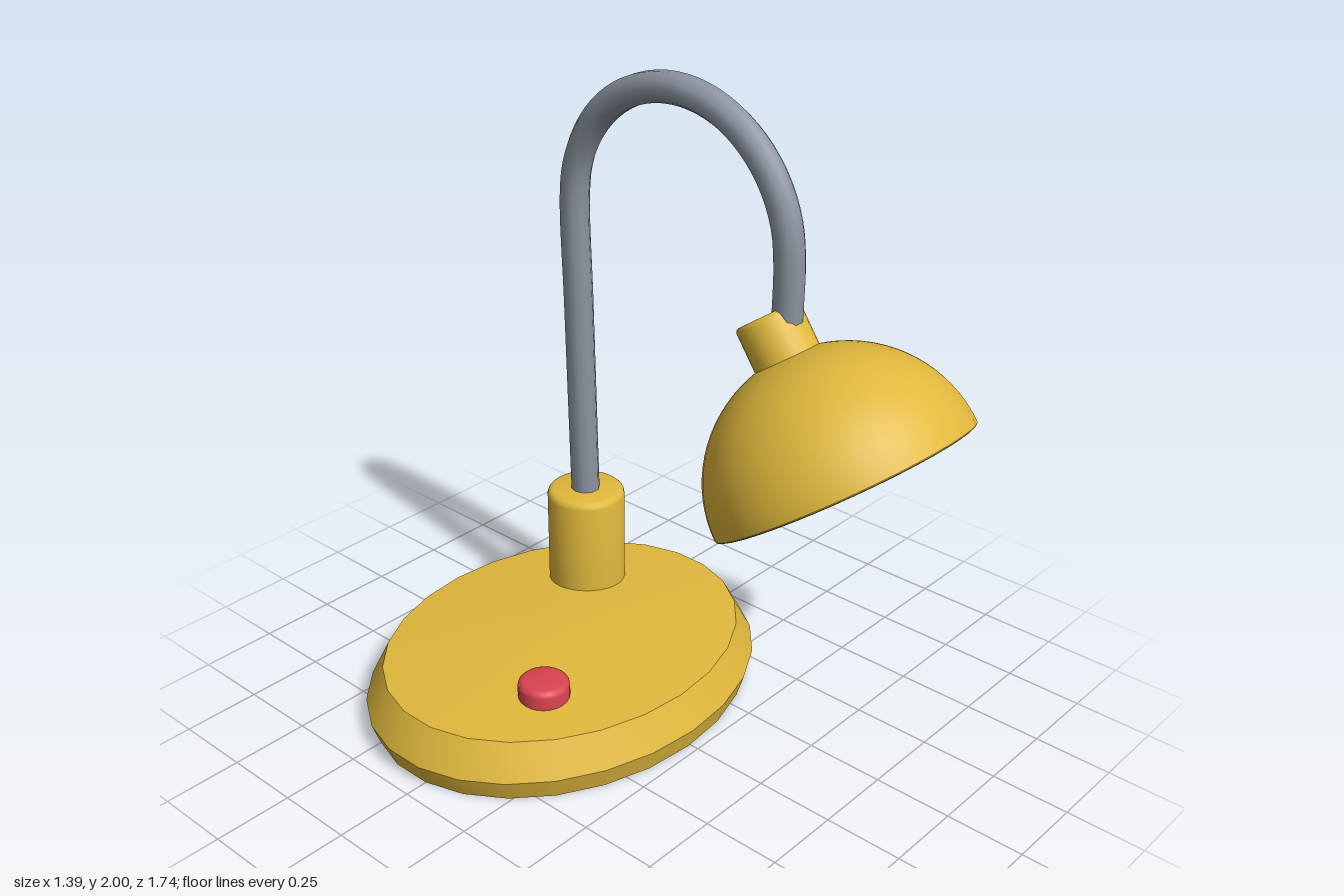
import * as THREE from 'three';
import { toCreasedNormals } from 'three/addons/utils/BufferGeometryUtils.js';

const paint = (name, color) => new THREE.MeshStandardMaterial({ name, color });

// Lathe from [radius, height] pairs, bottom to top for an outward surface
function turned(points, segments) {
  const profile = points.map(([r, y]) => new THREE.Vector2(r, y));
  return toCreasedNormals(new THREE.LatheGeometry(profile, segments), 0.6);
}

// Closed cylinder with a softened top edge
function softCylinder(r, y0, y1, bevel, segments) {
  const points = [[0, y0], [r, y0]];
  for (let i = 0; i <= 3; i++) {
    const a = (i / 3) * Math.PI / 2;
    points.push([r - bevel + bevel * Math.cos(a), y1 - bevel + bevel * Math.sin(a)]);
  }
  points.push([0, y1]);
  return turned(points, segments);
}

// Quarter-ellipse profile from rim (y = 0) to crown
function domeProfile(r, h, steps) {
  return Array.from({ length: steps + 1 }, (_, i) => {
    const a = (i / steps) * Math.PI / 2;
    return [i === steps ? 0 : r * Math.cos(a), h * Math.sin(a)];
  });
}

export function createModel() {
  const yellow = paint('yellow enamel', 0xe0b83c);
  const steel = paint('grey steel', 0x8c94a0);
  const red = paint('red button', 0xd9434f);
  const cream = paint('cream lining', 0xeadfc2);
  const glass = paint('warm bulb', 0xe6dab8);

  const lamp = new THREE.Group();
  lamp.name = 'deskLamp';
  const add = (parent, name, geometry, material, x = 0, y = 0, z = 0) => {
    const mesh = new THREE.Mesh(geometry, material);
    mesh.name = name;
    mesh.position.set(x, y, z);
    parent.add(mesh);
    return mesh;
  };

  // Oval base with a bevelled edge and slightly domed top
  const base = turned([[0, 0], [0.67, 0], [0.695, 0.07], [0.632, 0.18], [0.16, 0.213], [0, 0.215]], 26);
  base.scale(1, 1, 0.555 / 0.695);
  add(lamp, 'base', base, yellow, -0.01, 0, -0.316);

  // Post and switch
  const armX = 0.285;
  add(lamp, 'post', softCylinder(0.128, 0.17, 0.535, 0.022, 28), yellow, armX, 0, -0.492);
  add(lamp, 'switchButton', softCylinder(0.08, 0.18, 0.25, 0.018, 24), red, -0.305, 0, -0.11);

  // Gooseneck: leaning stem, half-circle arch, short drop
  const path = [[-0.493, 0.5], [-0.502, 0.85], [-0.511, 1.2]];
  for (let i = 0; i <= 12; i++) {
    const a = (i / 12) * Math.PI;
    path.push([-0.105 - 0.415 * Math.cos(a), 1.54 + 0.415 * Math.sin(a)]);
  }
  path.push([0.31, 1.37]);
  const curve = new THREE.CatmullRomCurve3(path.map(([z, y]) => new THREE.Vector3(armX, y, z)));
  add(lamp, 'gooseneck', new THREE.TubeGeometry(curve, 72, 0.047, 10), steel);
  const cap = new THREE.CircleGeometry(0.047, 10);
  cap.rotateX(Math.PI / 2);
  add(lamp, 'gooseneckEnd', cap, steel, armX, 1.37, 0.31);

  // Tilted head, with its origin at the centre of the shade opening
  const head = new THREE.Group();
  head.name = 'head';
  head.position.set(armX, 0.936, 0.5385);
  head.rotation.x = -0.614;
  lamp.add(head);

  const outer = domeProfile(0.41, 0.4, 20);
  const lip = [[0.382, 0.004], [0.388, -0.004], [0.4, -0.006], [0.408, -0.003]];
  add(head, 'shade', turned([...lip, ...outer], 40), yellow);
  const inner = domeProfile(0.382, 0.372, 16).map(([r, y]) => [r, y + 0.004]).reverse();
  add(head, 'shadeLining', turned(inner, 40), cream);
  add(head, 'collar', softCylinder(0.101, 0.34, 0.524, 0.014, 24), yellow);

  // Bulb and the neck joining it to the crown
  add(head, 'bulb', new THREE.SphereGeometry(0.165, 14, 10), glass, 0, 0.134, 0);
  add(head, 'bulbNeck', new THREE.CylinderGeometry(0.07, 0.07, 0.13, 14), glass, 0, 0.31, 0);

  return lamp;
}
